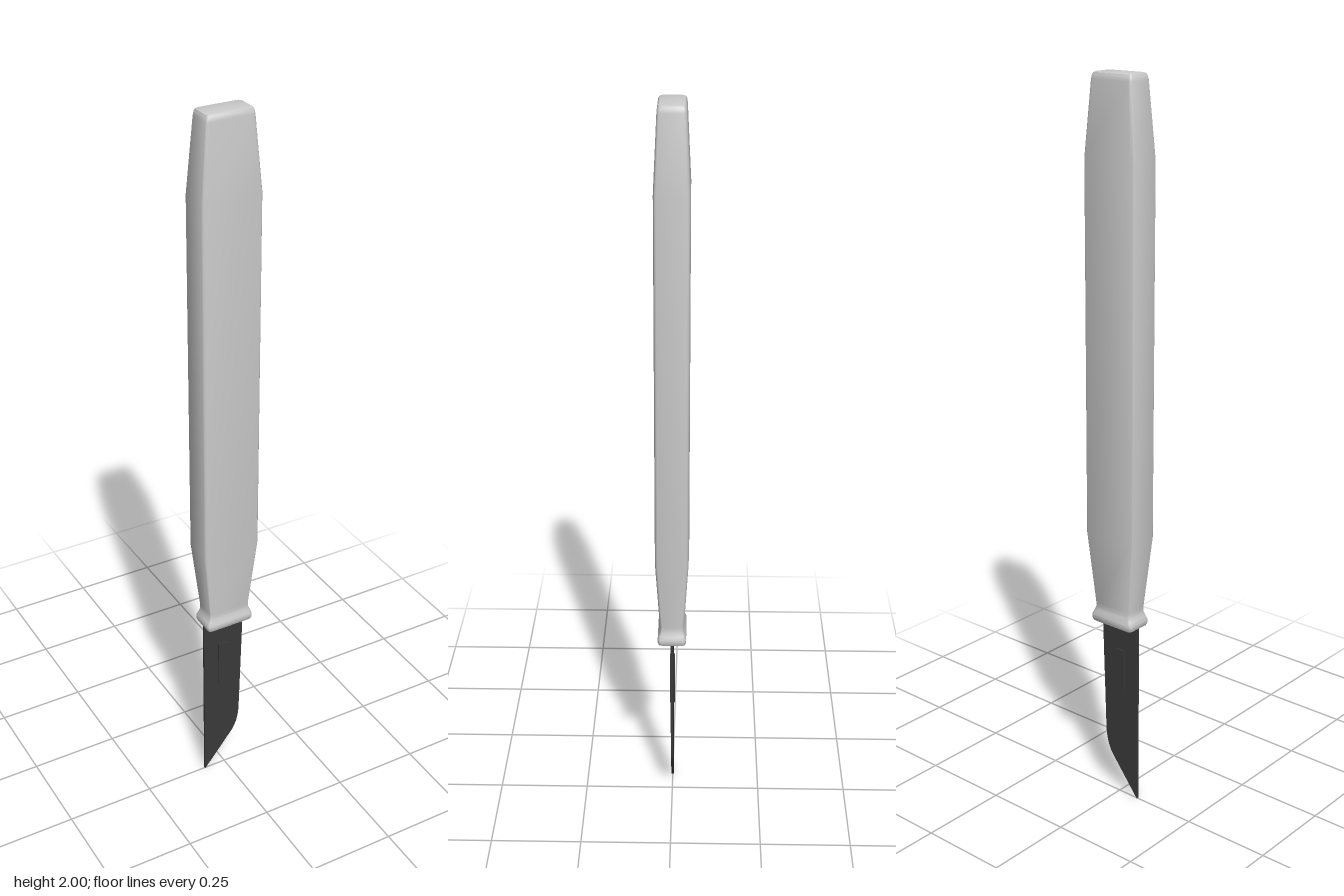
import * as THREE from 'three';
import { toCreasedNormals } from 'three/addons/utils/BufferGeometryUtils.js';

// Rounded rectangle ring: half width w, half depth d, at height y
function ring(y, w, d, r) {
  const pts = [];
  const steps = 4;
  const corners = [[1, 1], [-1, 1], [-1, -1], [1, -1]];
  corners.forEach(([sx, sz], q) => {
    for (let i = 0; i <= steps; i++) {
      const a = (q + i / steps) * Math.PI / 2;
      pts.push([sx * (w - r) + r * Math.cos(a), y, sz * (d - r) + r * Math.sin(a)]);
    }
  });
  return pts;
}

// Skin a stack of rings from bottom to top and cap both ends
function loft(sections) {
  const rings = sections.map((s) => ring(...s));
  const n = rings[0].length;
  const last = rings.length - 1;
  const pos = rings.flat(2);
  const bottom = n * rings.length;
  const top = bottom + 1;
  pos.push(0, sections[0][0], 0, 0, sections[last][0], 0);
  const index = [];
  for (let j = 0; j < n; j++) {
    const k = (j + 1) % n;
    for (let i = 0; i < last; i++) {
      const a = i * n + j, b = i * n + k;
      index.push(a, a + n, b, b, a + n, b + n);
    }
    index.push(bottom, j, k, top, last * n + k, last * n + j);
  }
  const geo = new THREE.BufferGeometry();
  geo.setAttribute('position', new THREE.Float32BufferAttribute(pos, 3));
  geo.setIndex(index);
  return toCreasedNormals(geo, 0.6);
}

// Flat plate extruded symmetrically about z = 0
function plate(shape, thickness) {
  const geo = new THREE.ExtrudeGeometry(shape, { depth: thickness, bevelEnabled: false, curveSegments: 10 });
  return geo.translate(0, 0, -thickness / 2);
}

export function createModel() {
  const model = new THREE.Group();
  const grey = new THREE.MeshStandardMaterial({ color: 0xcccccc });
  const steel = new THREE.MeshStandardMaterial({ color: 0x3a3a3a });
  const add = (name, geo, mat) => {
    const mesh = new THREE.Mesh(geo, mat);
    mesh.name = name;
    model.add(mesh);
  };

  // Tapered handle with flared collar: [y, half width, half depth, corner radius]
  add('handle', loft([
    [0.528, 0.062, 0.033, 0.008],
    [0.531, 0.068, 0.037, 0.01],
    [0.538, 0.071, 0.039, 0.01],
    [0.548, 0.071, 0.039, 0.01],
    [0.558, 0.067, 0.036, 0.01],
    [0.57, 0.062, 0.033, 0.01],
    [0.585, 0.062, 0.033, 0.01],
    [0.79, 0.084, 0.045, 0.012],
    [1.79, 0.084, 0.045, 0.012],
    [1.982, 0.067, 0.036, 0.01],
    [1.992, 0.065, 0.035, 0.01],
    [1.998, 0.062, 0.032, 0.009],
    [2.0, 0.057, 0.028, 0.007],
  ]), grey);

  // Blade with straight spine, curved belly and angled point
  const blade = new THREE.Shape();
  blade.moveTo(-0.066, 0.56);
  blade.lineTo(-0.066, 0.0);
  blade.lineTo(0.02, 0.108);
  blade.quadraticCurveTo(0.046, 0.14, 0.047, 0.2);
  blade.lineTo(0.058, 0.53);
  blade.lineTo(0.058, 0.56);
  blade.closePath();
  add('blade', plate(blade, 0.007), steel);

  // Raised mounting lug in the middle of the blade
  const lug = new THREE.Shape();
  lug.moveTo(-0.021, 0.305);
  lug.lineTo(0.009, 0.305);
  lug.lineTo(0.009, 0.45);
  lug.lineTo(-0.021, 0.45);
  lug.closePath();
  add('bladeLug', plate(lug, 0.014), steel);

  return model;
}
